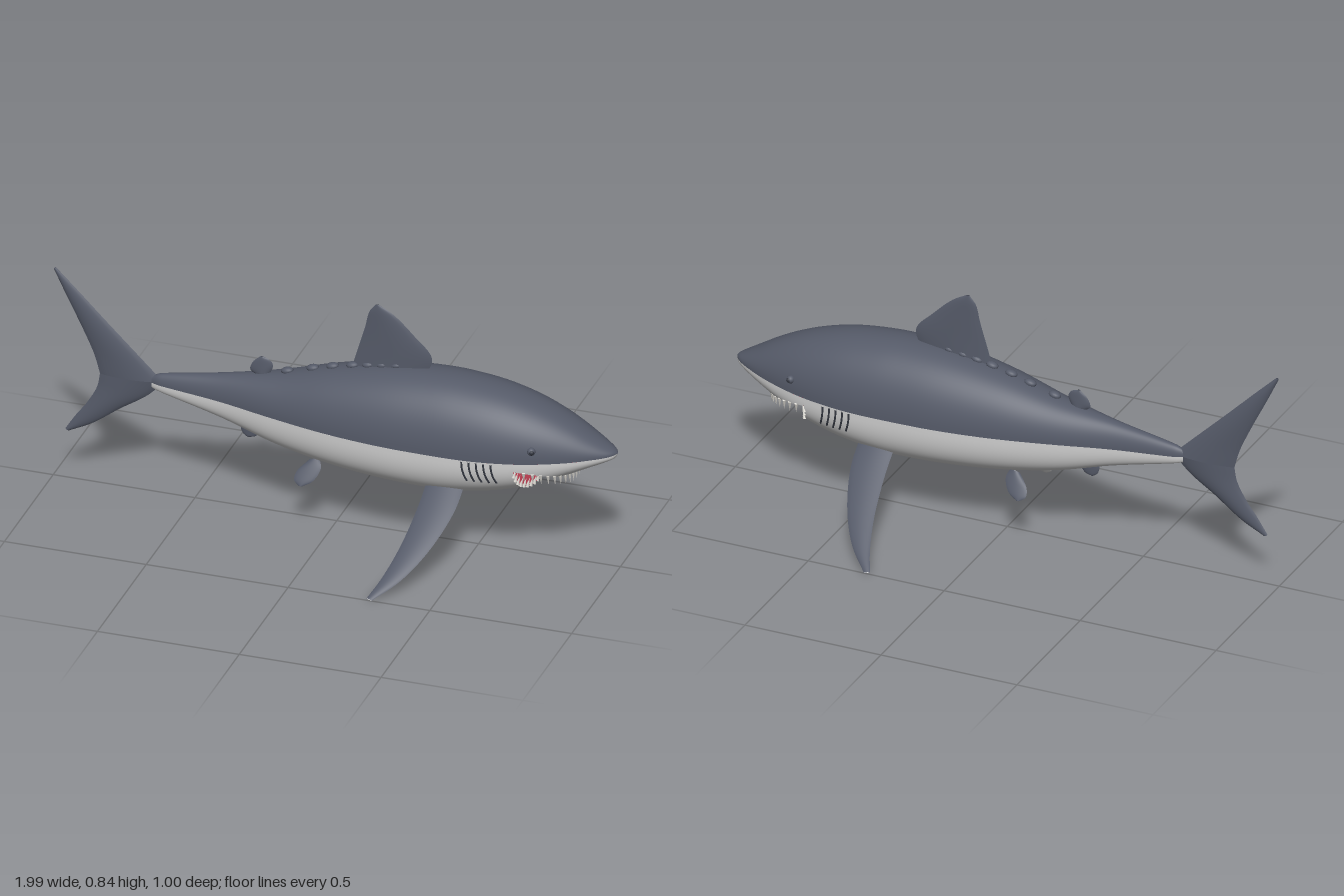
import * as THREE from 'three';
import { mergeGeometries } from 'three/addons/utils/BufferGeometryUtils.js';

const material = (name, color) => {
  const m = new THREE.MeshStandardMaterial({ color, side: THREE.DoubleSide });
  m.name = name;
  return m;
};
const { lerp, clamp, smoothstep } = THREE.MathUtils;
const V = (x, y, z = 0) => new THREE.Vector3(x, y, z);

// Body stations: x, top y, bottom y, half width, colour line y
const STATIONS = [
  [-0.65, 0.44, 0.395, 0.01, 0.418], [-0.62, 0.453, 0.386, 0.02, 0.417],
  [-0.4, 0.492, 0.332, 0.05, 0.41], [-0.2, 0.533, 0.277, 0.1, 0.408],
  [0, 0.588, 0.245, 0.146, 0.408], [0.2, 0.625, 0.229, 0.173, 0.408],
  [0.38, 0.637, 0.226, 0.18, 0.408], [0.5, 0.63, 0.238, 0.178, 0.408],
  [0.6, 0.615, 0.258, 0.169, 0.41], [0.7, 0.588, 0.288, 0.151, 0.413],
  [0.78, 0.557, 0.321, 0.128, 0.417], [0.85, 0.522, 0.354, 0.102, 0.421],
  [0.91, 0.486, 0.382, 0.074, 0.426], [0.96, 0.456, 0.404, 0.043, 0.429],
  [0.983, 0.442, 0.416, 0.02, 0.431], [0.992, 0.432, 0.431, 0.001, 0.4315],
];

// Smooth interpolation of one station column at x
function station(x, col) {
  const S = STATIONS, last = S.length - 1;
  let i = 0;
  while (i < last - 1 && x > S[i + 1][0]) i++;
  const slope = (k) => {
    const a = S[Math.max(k - 1, 0)], b = S[Math.min(k + 1, last)];
    return (b[col] - a[col]) / (b[0] - a[0]);
  };
  const h = S[i + 1][0] - S[i][0], t = clamp((x - S[i][0]) / h, 0, 1), t2 = t * t, t3 = t2 * t;
  return (2 * t3 - 3 * t2 + 1) * S[i][col] + (t3 - 2 * t2 + t) * h * slope(i)
    + (3 * t2 - 2 * t3) * S[i + 1][col] + (t3 - t2) * h * slope(i + 1);
}

// Point on the skin: angle 0 = left side, PI/2 = top, 3PI/2 = bottom
const BELLY_POWER = 2.5;
function skin(x, a) {
  const c = Math.cos(a), s = Math.sin(a), mid = station(x, 4);
  const e = 2 / (s > 0 ? 2.1 : BELLY_POWER);
  const height = s > 0 ? station(x, 1) - mid : mid - station(x, 2);
  return V(x, mid + height * Math.sign(s) * Math.abs(s) ** e,
    station(x, 3) * Math.sign(c) * Math.abs(c) ** e);
}

// Mouth opening: angle of the upper lip below the colour line, and x of the lower jaw edge
const CORNER = 0.675, LIP_FRONT = 0.85;
function lipAngle(x) {
  const lip = lerp(0.383, station(LIP_FRONT, 2), clamp((x - CORNER) / (LIP_FRONT - CORNER), 0, 1));
  const mid = station(x, 4);
  if (x >= LIP_FRONT) return Math.PI / 2;
  return Math.asin(clamp((mid - lip) / (mid - station(x, 2)), 0, 1) ** (BELLY_POWER / 2));
}
const CORNER_ANGLE = lipAngle(CORNER);
const jawX = (d) => CORNER + 0.04 * smoothstep(d, CORNER_ANGLE, Math.PI / 2);
function upperLip(q) { // q from -1 (right corner) to 1 (left corner)
  const x = LIP_FRONT - (LIP_FRONT - CORNER) * q * q, d = lipAngle(x);
  return skin(x, q < 0 ? Math.PI + d : 2 * Math.PI - d);
}
function lowerLip(q) {
  const a = 1.5 * Math.PI + q * (Math.PI / 2 - CORNER_ANGLE);
  return skin(jawX(Math.PI / 2 - Math.abs(a - 1.5 * Math.PI)), a);
}

// Grid surface from a rule f(u, v)
function sheet(f, nu, nv) {
  const g = new THREE.PlaneGeometry(1, 1, nu, nv), p = g.attributes.position;
  for (let i = 0; i < p.count; i++) {
    const w = f(p.getX(i) + 0.5, p.getY(i) + 0.5);
    p.setXYZ(i, w.x, w.y, w.z);
  }
  g.computeVertexNormals();
  return g;
}

export function createModel() {
  const root = new THREE.Group();
  root.name = 'shark';
  const slate = material('slate skin', 0x555a68);
  const pale = material('pale belly', 0xcfcfcf);
  const red = material('mouth red', 0xb03a4c);
  const ivory = material('tooth ivory', 0xe6e3dc);
  const ink = material('dark detail', 0x363a44);
  const add = (name, geometry, mat, parent = root) => {
    const m = new THREE.Mesh(geometry, mat);
    m.name = name;
    parent.add(m);
    return m;
  };
  const ease = (u) => (1 - Math.cos(Math.PI * u)) / 2;

  // Back, belly and the two sides of the snout
  add('back', sheet((u, v) => skin(lerp(-0.65, 0.992, ease(u)), Math.PI * v), 80, 40), slate);
  add('belly', sheet((u, v) => {
    const a = Math.PI * (1 + v), d = Math.min(a - Math.PI, 2 * Math.PI - a);
    return skin(lerp(-0.65, jawX(d), u), a);
  }, 70, 48), pale);
  for (const side of [-1, 1]) {
    add(side < 0 ? 'rightSnout' : 'leftSnout', sheet((u, v) => {
      const x = lerp(CORNER, 0.992, u), d = lipAngle(x);
      return skin(x, side < 0 ? Math.PI + v * d : 2 * Math.PI - (1 - v) * d);
    }, 60, 16), pale);
  }

  // Mouth lining, shrinking from the lips to the throat
  add('mouthLining', sheet((u, v) => {
    const rim = u < 0.5 ? upperLip(u * 4 - 1) : lowerLip(3 - u * 4);
    const size = Math.sqrt(1 - v * v);
    return V(lerp(rim.x, 0.53, v), lerp(0.36, rim.y, size), rim.z * size);
  }, 80, 12), red);

  // Teeth along both lips
  const teeth = (name, lip, count, dir, length) => {
    const list = [];
    for (let i = 0; i < count; i++) {
      const q = lerp(-0.9, 0.9, i / (count - 1)), base = lip(q);
      const d = V(dir.x, dir.y, -base.z * 0.8).normalize();
      const g = new THREE.ConeGeometry(0.007, length, 5);
      g.applyQuaternion(new THREE.Quaternion().setFromUnitVectors(V(0, 1, 0), d));
      g.translate(...base.addScaledVector(d, length * 0.4).toArray());
      list.push(g);
    }
    add(name, mergeGeometries(list), ivory);
  };
  teeth('upperTeeth', upperLip, 20, V(0.05, -1), 0.036);
  teeth('lowerTeeth', lowerLip, 18, V(0.25, 1), 0.034);

  // Eyes and gill slits
  for (const side of [-1, 1]) {
    const label = side < 0 ? 'right' : 'left';
    const onSide = (x, y) => {
      const mid = station(x, 4), up = y > mid;
      const k = up ? (y - mid) / (station(x, 1) - mid) : (mid - y) / (mid - station(x, 2));
      const s = Math.asin(k ** ((up ? 2.1 : BELLY_POWER) / 2));
      const p = skin(x, up ? s : -s);
      return V(p.x, p.y, p.z * side);
    };
    const eye = add(label + 'Eye', new THREE.SphereGeometry(0.014, 16, 12), slate);
    eye.position.copy(onSide(0.733, 0.462));
    const pupil = add(label + 'Pupil', new THREE.SphereGeometry(0.009, 12, 10), ink);
    pupil.position.copy(eye.position).add(V(0.003, 0, side * 0.007));
    for (let i = 0; i < 5; i++) {
      const pts = [0, 1, 2, 3, 4].map((k) => {
        const t = k / 4;
        return onSide(0.5 + i * 0.025 + 0.016 * t * t, lerp(0.405, 0.33, t));
      });
      add(label + 'Gill' + (i + 1),
        new THREE.TubeGeometry(new THREE.CatmullRomCurve3(pts), 12, 0.0035, 6), ink);
    }
  }

  // Lens-shaped fin between a leading and a trailing edge, one mesh per face
  const fin = (name, lead, trail, thick, mats = [slate, slate], mirror = 1) => {
    const group = new THREE.Group();
    group.name = name;
    root.add(group);
    const curve = (pts) => new THREE.CatmullRomCurve3(pts.map((p) => V(p[0], p[1], (p[2] || 0) * mirror)));
    const front = curve(lead), back = curve(trail), t = V(thick[0], thick[1], thick[2] * mirror);
    [1, -1].forEach((face, i) => add(name + (i ? 'Inner' : 'Outer'), sheet((u, v) => {
      const w = face * mirror > 0 ? u : 1 - u;
      const bulge = face * Math.sin(Math.PI * w) ** 0.7 * Math.sqrt(1 - 0.95 * v);
      return front.getPoint(v).lerp(back.getPoint(v), w).addScaledVector(t, bulge);
    }, 14, 24), mats[i], group));
  };
  fin('dorsalFin',
    [[0.31, 0.6], [0.336, 0.675], [0.27, 0.752], [0.2, 0.817], [0.15, 0.846]],
    [[0.05, 0.585], [0.075, 0.67], [0.1, 0.755], [0.115, 0.815], [0.137, 0.845]], [0, 0, 0.013]);
  fin('upperTailLobe',
    [[-0.61, 0.42], [-0.68, 0.488], [-0.82, 0.624], [-0.91, 0.713], [-0.99, 0.79]],
    [[-0.835, 0.416], [-0.855, 0.485], [-0.9, 0.585], [-0.95, 0.685], [-0.998, 0.785]], [0, 0, 0.016]);
  fin('lowerTailLobe',
    [[-0.61, 0.42], [-0.67, 0.36], [-0.765, 0.295], [-0.86, 0.225], [-0.945, 0.181]],
    [[-0.835, 0.416], [-0.845, 0.365], [-0.88, 0.3], [-0.92, 0.245], [-0.957, 0.188]], [0, 0, 0.016]);
  fin('secondDorsalFin',
    [[-0.24, 0.51], [-0.225, 0.55], [-0.235, 0.57], [-0.26, 0.58]],
    [[-0.28, 0.505], [-0.305, 0.525], [-0.295, 0.555], [-0.268, 0.58]], [0, 0, 0.011]);
  fin('analFin',
    [[-0.275, 0.33], [-0.27, 0.3], [-0.285, 0.275], [-0.31, 0.267]],
    [[-0.31, 0.33], [-0.338, 0.31], [-0.332, 0.28], [-0.315, 0.267]], [0, 0, 0.009]);

  // Paired fins, dark above and pale below
  const drop = (p) => [p[0], 0.27 - 0.716 * (p[1] - 0.13), p[1]];
  for (const side of [-1, 1]) {
    const label = side < 0 ? 'right' : 'left';
    fin(label + 'PectoralFin',
      [[0.49, 0.1], [0.482, 0.2], [0.435, 0.33], [0.37, 0.43], [0.295, 0.5]].map(drop),
      [[0.36, 0.1], [0.355, 0.2], [0.335, 0.33], [0.305, 0.43], [0.275, 0.495]].map(drop),
      [0, 0.01, 0.007], [slate, pale], side);
    fin(label + 'PelvicFin',
      [[-0.04, 0.262, 0.06], [-0.03, 0.235, 0.076], [-0.05, 0.195, 0.1], [-0.085, 0.175, 0.112]],
      [[-0.075, 0.255, 0.062], [-0.112, 0.215, 0.088], [-0.115, 0.19, 0.103], [-0.095, 0.175, 0.112]],
      [0, 0.004, 0.006], [slate, pale], side);
  }

  // Row of bumps along the spine
  [-0.175, -0.085, -0.015, 0.055, 0.11, 0.16, 0.21].forEach((x, i) => {
    const bump = add('spineBump' + (i + 1), new THREE.SphereGeometry(1, 16, 10), slate);
    bump.scale.set(0.022, 0.012, 0.016);
    bump.rotation.z = 0.22;
    bump.position.set(x, station(x, 1) + 0.003, 0);
  });

  return root;
}
